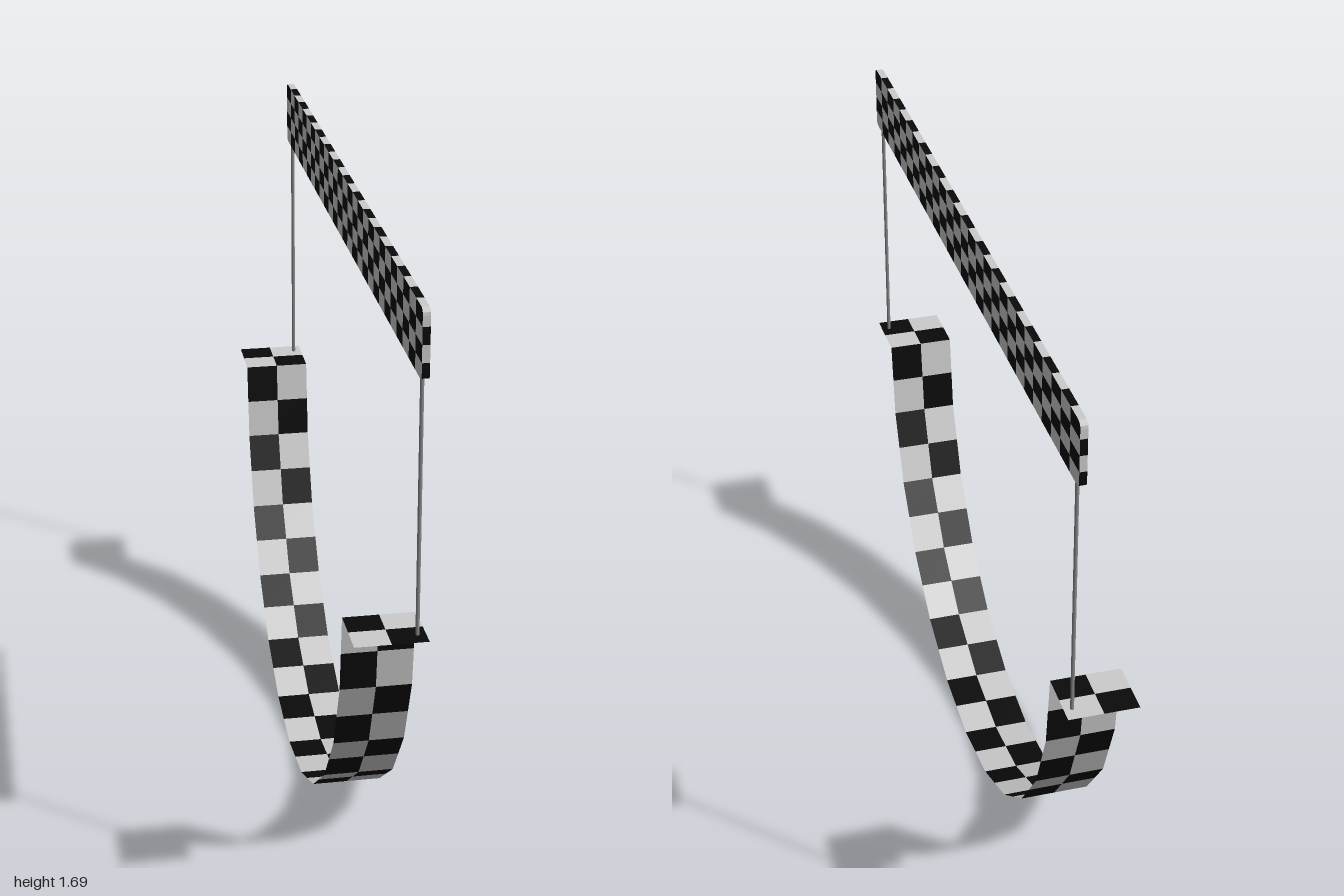
import * as THREE from 'three';

const light = new THREE.MeshStandardMaterial({ color: 0xcccccc, side: THREE.DoubleSide, flatShading: true });
const dark = new THREE.MeshStandardMaterial({ color: 0x0a0a0a, side: THREE.DoubleSide, flatShading: true });
const grey = new THREE.MeshStandardMaterial({ color: 0x888888 });

// Checkered surface: point(i, j) gives [x, y, z] at grid coordinates; cell (0, 0) is light
// unless shift is 1. Each cell is split into sub x sub quads.
function checker(name, cols, rows, point, shift = 0, sub = 1) {
  const group = new THREE.Group();
  group.name = name;
  const coords = [[], []];
  for (let i = 0; i < cols * sub; i++) {
    for (let j = 0; j < rows * sub; j++) {
      const parity = (Math.floor(i / sub) + Math.floor(j / sub) + shift) % 2;
      const [a, b, c, d] = [[0, 0], [1, 0], [1, 1], [0, 1]]
        .map(([di, dj]) => point((i + di) / sub, (j + dj) / sub));
      coords[parity].push(...a, ...b, ...c, ...a, ...c, ...d);
    }
  }
  coords.forEach((list, k) => {
    const geometry = new THREE.BufferGeometry();
    geometry.setAttribute('position', new THREE.Float32BufferAttribute(list, 3));
    geometry.computeVertexNormals();
    const mesh = new THREE.Mesh(geometry, k ? dark : light);
    mesh.name = name + (k ? 'DarkCells' : 'LightCells');
    group.add(mesh);
  });
  return group;
}

// Half-pipe strip: flange, 12 flat facets of a half circle, flange
function createRamp() {
  const R = 0.842, width = 0.184;
  const profile = [[1, R]];
  for (let k = 0; k <= 12; k++) {
    const a = (k / 12) * Math.PI;
    profile.push([R * Math.cos(a), R - R * Math.sin(a)]);
  }
  profile.push([-1, R]);
  // Two rows of cells on each flat segment
  return checker('ramp', 28, 2, (i, j) => {
    const k = Math.min(Math.floor(i / 2), 13), t = i / 2 - k;
    const z = THREE.MathUtils.lerp(profile[k][0], profile[k + 1][0], t);
    const y = THREE.MathUtils.lerp(profile[k][1], profile[k + 1][1], t);
    // The strip bows very slightly sideways towards its lowest point
    const x = -0.004 + 0.005 * z * z + (j / 2 - 0.5) * width;
    return [x, y, z];
  });
}

// Long thin board with rounded corners
function createBanner() {
  const cols = 27, rows = 4, H = 0.0875, r = 0.0148, midY = 1.6025;
  const x0 = 0.061, x1 = 0.08;
  const place = (x, i, j) => {
    let z = 1 - (2 * i) / cols, y = (j / rows - 0.5) * 2 * H;
    const dz = Math.abs(z) - (1 - r), dy = Math.abs(y) - (H - r);
    if (dz > 0 && dy > 0) {
      const s = Math.max(dz, dy) / Math.hypot(dz, dy);
      z = Math.sign(z) * (1 - r + dz * s);
      y = Math.sign(y) * (H - r + dy * s);
    }
    return [x, midY + y, z];
  };
  const across = (t) => x0 + (x1 - x0) * t;
  const group = new THREE.Group();
  group.name = 'banner';
  group.add(
    checker('bannerLeftFace', cols, rows, (i, j) => place(x1, i, j), 0, 5),
    checker('bannerRightFace', cols, rows, (i, j) => place(x0, cols - i, j), 0, 5),
    checker('bannerTop', cols, 1, (i, t) => place(across(1 - t), cols - i, rows), 0, 5),
    checker('bannerBottom', cols, 1, (i, t) => place(across(t), cols - i, 0), 1, 5),
    checker('bannerFrontEnd', 1, rows, (t, j) => place(across(t), 0, j), 1, 5),
    checker('bannerBackEnd', 1, rows, (t, j) => place(across(1 - t), cols, j), 1, 5),
  );
  return group;
}

export function createModel() {
  const model = new THREE.Group();
  model.name = 'checkeredRampWithBanner';
  model.add(createRamp(), createBanner());

  // Thin poles carrying the banner at both ends
  for (const side of [1, -1]) {
    const pole = new THREE.Mesh(new THREE.CylinderGeometry(0.005, 0.005, 0.68, 12), grey);
    pole.name = side > 0 ? 'frontPole' : 'backPole';
    pole.position.set(0.071, 1.182, side * 0.96);
    model.add(pole);
  }
  return model;
}
